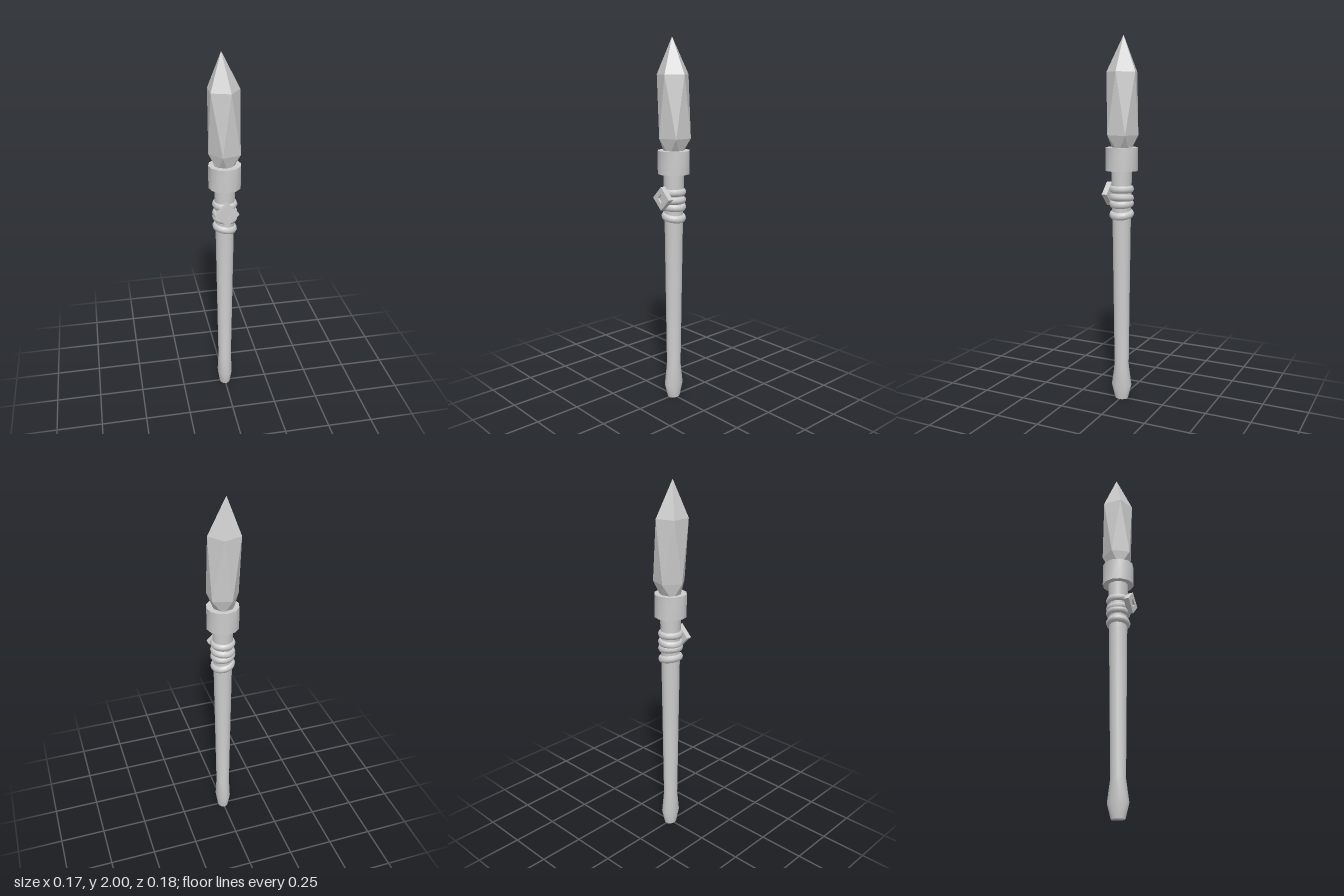
import * as THREE from 'three';
import { toCreasedNormals } from 'three/addons/utils/BufferGeometryUtils.js';
import { ConvexGeometry } from 'three/addons/geometries/ConvexGeometry.js';

export function createModel() {
  const model = new THREE.Group();
  const grey = new THREE.MeshStandardMaterial({ color: 0xcccccc });
  const faceted = new THREE.MeshStandardMaterial({ color: 0xcccccc, flatShading: true });

  const add = (name, geometry, material = grey) => {
    const mesh = new THREE.Mesh(geometry, material);
    mesh.name = name;
    model.add(mesh);
    return mesh;
  };

  const lathe = (points, sides) =>
    new THREE.LatheGeometry(points.map(([r, y]) => new THREE.Vector2(r, y)), sides);

  // Tapered shaft ending in a butt that is flattened from side to side
  const shaft = lathe([[0, 0], [0.037, 0], [0.058, 0.08], [0.04, 0.2], [0.05, 1.02], [0.056, 1.3]], 16);
  const pos = shaft.attributes.position;
  for (let i = 0; i < pos.count; i++) {
    const y = pos.getY(i);
    const squash = y < 0.05 ? 0.82 : y < 0.1 ? 0.73 : y < 0.3 ? 0.95 : 1;
    pos.setX(i, pos.getX(i) * squash);
  }
  add('shaft', toCreasedNormals(shaft, 0.7));

  // Collar that holds the crystal
  const collar = new THREE.CylinderGeometry(0.087, 0.087, 0.125, 12);
  add('collar', toCreasedNormals(collar, 0.7)).position.y = 1.353;

  // Five-sided crystal: staggered rings closing to an off-centre tip
  const crystalPoints = [new THREE.Vector3(-0.017, 2, -0.003)];
  const rings = [
    { y: 1.81, r: 0.088, x: -0.008, turn: 0 },
    { y: 1.48, r: 0.088, x: 0.003, turn: Math.PI / 5 },
    { y: 1.39, r: 0.048, x: -0.004, turn: 0 },
  ];
  for (const { y, r, x, turn } of rings) {
    for (let i = 0; i < 5; i++) {
      const a = turn + (i * Math.PI * 2) / 5;
      crystalPoints.push(new THREE.Vector3(x + r * Math.cos(a), y, -0.003 + r * Math.sin(a)));
    }
  }
  add('crystal', new ConvexGeometry(crystalPoints), faceted);

  // Cord bindings, each tilted a little differently
  const bindings = [
    { y: 1.192, tilt: 0 },
    { y: 1.145, tilt: 0.1 },
    { y: 1.113, tilt: -0.1 },
    { y: 1.055, tilt: -0.2 },
  ];
  for (const { y, tilt } of bindings) {
    const cord = new THREE.TorusGeometry(0.046, 0.022, 8, 20).rotateX(Math.PI / 2);
    const mesh = add('binding', cord);
    mesh.position.y = y;
    mesh.rotation.z = tilt;
  }

  // Diamond badge with a small recess in its face
  const diamond = (r, Type) => new Type([[0, -r], [r, 0], [0, r], [-r, 0]].map(([x, y]) => new THREE.Vector2(x, y)));
  const plate = diamond(0.064, THREE.Shape);
  const badge = (name, shape, depth, z) =>
    add(name, new THREE.ExtrudeGeometry(shape, { depth, bevelEnabled: false }), faceted).position.set(-0.002, 1.163, z);
  badge('badgeBack', plate.clone(), 0.02, 0.06);
  plate.holes.push(diamond(0.025, THREE.Path));
  badge('badgeFrame', plate, 0.01, 0.08);

  return model;
}
